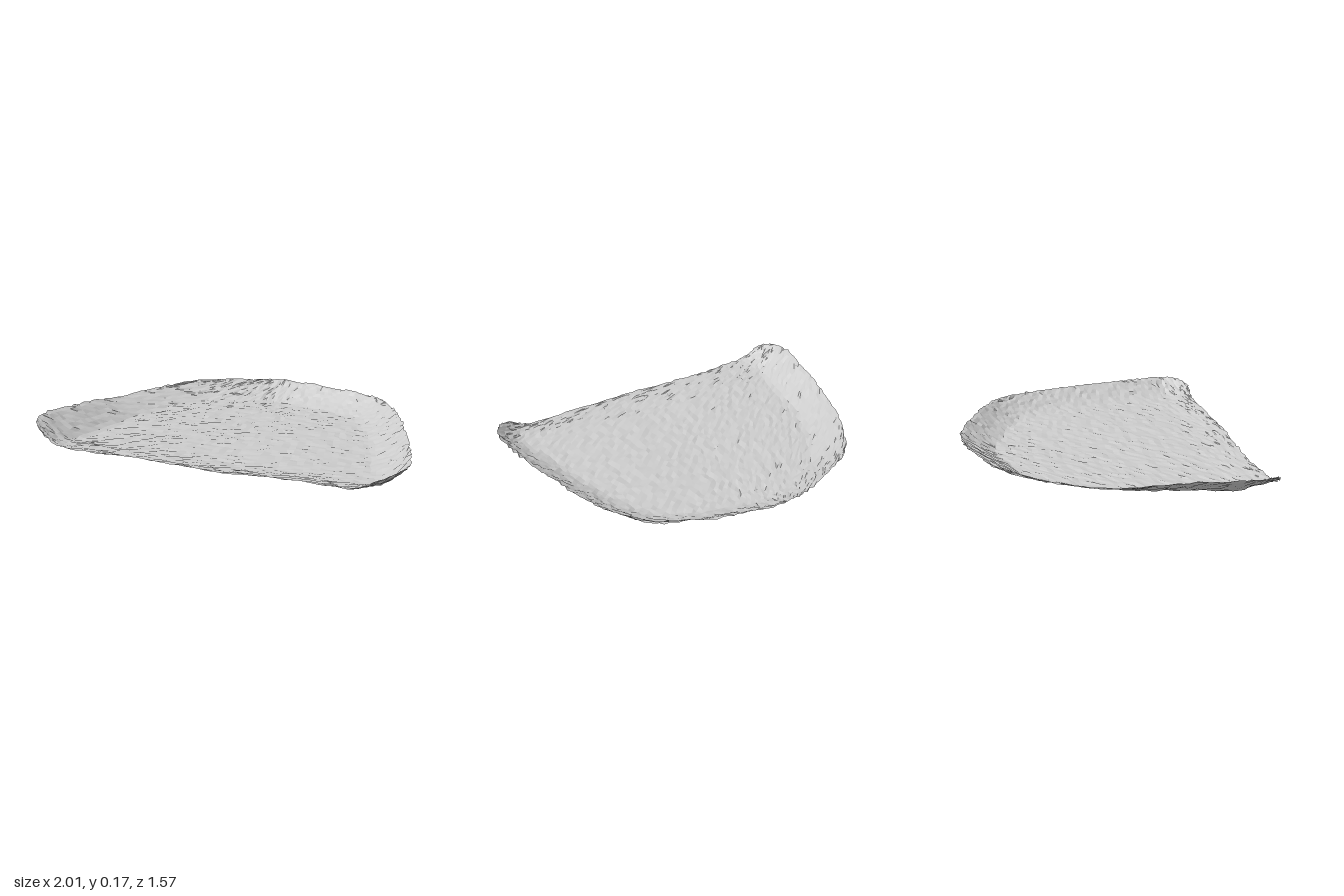
import * as THREE from 'three';

// Rim outline, anticlockwise seen from above, from the front centre: x, rim height, z
const RIM = [
  [0.1, 0.035, 0.765], [0.35, 0.035, 0.745], [0.6, 0.032, 0.735], [0.78, 0.03, 0.735],
  [0.88, 0.078, 0.73], [0.96, 0.11, 0.67], [1, 0.113, 0.56], [0.98, 0.11, 0.4], [0.94, 0.11, 0.22],
  [0.89, 0.11, 0.04], [0.84, 0.11, -0.13], [0.78, 0.11, -0.3], [0.7, 0.115, -0.45],
  [0.6, 0.118, -0.58], [0.42, 0.118, -0.67], [0.2, 0.118, -0.738], [0, 0.122, -0.78],
  [-0.1, 0.122, -0.78], [-0.22, 0.12, -0.755], [-0.39, 0.122, -0.685],
  [-0.6, 0.122, -0.575], [-0.74, 0.115, -0.4], [-0.835, 0.11, -0.22], [-0.9, 0.115, -0.03],
  [-0.94, 0.14, 0.17], [-0.97, 0.16, 0.37], [-1, 0.17, 0.57], [-0.975, 0.162, 0.68],
  [-0.91, 0.137, 0.755], [-0.8, 0.07, 0.775], [-0.62, 0.05, 0.765], [-0.4, 0.045, 0.75], [-0.15, 0.04, 0.755],
].map(p => new THREE.Vector3(...p));

const rim = new THREE.CatmullRomCurve3(RIM, true);
const rimSamples = rim.getPoints(300);

// Front corners and back shoulders of the sheet, as indices into the rim
const FRONT_RIGHT = 4, BACK_RIGHT = 13, BACK_LEFT = 20, FRONT_LEFT = 28;
const COLUMNS = 58, ROWS = 56;

// Seeded noise from -1 to 1
function makeNoise(seed) {
  return () => {
    seed = (seed * 16807) % 2147483647;
    return (seed / 2147483647) * 2 - 1;
  };
}

// Point part-way along the rim between two indices
const along = (from, to, s) => rim.getPoint(((from + (to - from) * s) / RIM.length) % 1);

// Plan position: blend of the four sides (u across x, v back to front)
function planPoint(u, v) {
  const back = along(BACK_LEFT, BACK_RIGHT, u);
  const front = along(FRONT_LEFT, FRONT_RIGHT + RIM.length, u);
  const left = along(BACK_LEFT, FRONT_LEFT, v);
  const right = along(BACK_RIGHT, FRONT_RIGHT, v);
  const blend = k =>
    (1 - v) * back[k] + v * front[k] + (1 - u) * left[k] + u * right[k]
    - (1 - v) * ((1 - u) * RIM[BACK_LEFT][k] + u * RIM[BACK_RIGHT][k])
    - v * ((1 - u) * RIM[FRONT_LEFT][k] + u * RIM[FRONT_RIGHT][k]);
  return [blend('x'), blend('z')];
}

// Nearly flat floor with a shallow dip along the middle
const floorHeight = (x, z) =>
  0.019 - 0.013 * x - 0.004 * Math.exp(-((x / 0.2) ** 2)) + 0.002 * Math.sin(4 * x + 5 * z);

// Height: floor that turns up towards the nearby rim, more steeply at the front right corner
function dishHeight(x, z) {
  let nearest = Infinity, sum = 0, weights = 0;
  for (const p of rimSamples) {
    const d2 = (p.x - x) ** 2 + (p.z - z) ** 2;
    const weight = 1 / (d2 + 1e-5) ** 3;
    nearest = Math.min(nearest, d2);
    sum += weight * p.y;
    weights += weight;
  }
  const base = floorHeight(x, z);
  const corner = Math.exp(-((x - 0.93) ** 2 + (z - 0.7) ** 2) / 0.04);
  const riseWidth = 0.19 - 0.07 * corner;
  const closeness = Math.max(0, 1 - Math.sqrt(nearest) / riseWidth);
  return base + (sum / weights - base) * closeness ** (1.25 + 0.3 * x);
}

export function createModel() {
  const noise = makeNoise(4711);
  const sheet = new THREE.PlaneGeometry(2, 2, COLUMNS, ROWS).rotateX(-Math.PI / 2);
  const pos = sheet.attributes.position;
  for (let i = 0; i < pos.count; i++) {
    const col = i % (COLUMNS + 1), row = Math.floor(i / (COLUMNS + 1));
    const [x, z] = planPoint(col / COLUMNS, row / ROWS);
    pos.setXYZ(i, x + noise() * 0.006, dishHeight(x, z) + noise() * 0.004, z + noise() * 0.006);
  }
  // Stand the lowest point on the ground
  sheet.computeBoundingBox();
  sheet.translate(0, -sheet.boundingBox.min.y, 0);
  sheet.computeVertexNormals();

  const material = new THREE.MeshStandardMaterial({
    color: 0xcccccc, flatShading: true, side: THREE.DoubleSide,
  });
  const shell = new THREE.Mesh(sheet, material);
  shell.name = 'shallowShell';

  const group = new THREE.Group();
  group.name = 'shallowDish';
  group.add(shell);
  return group;
}
